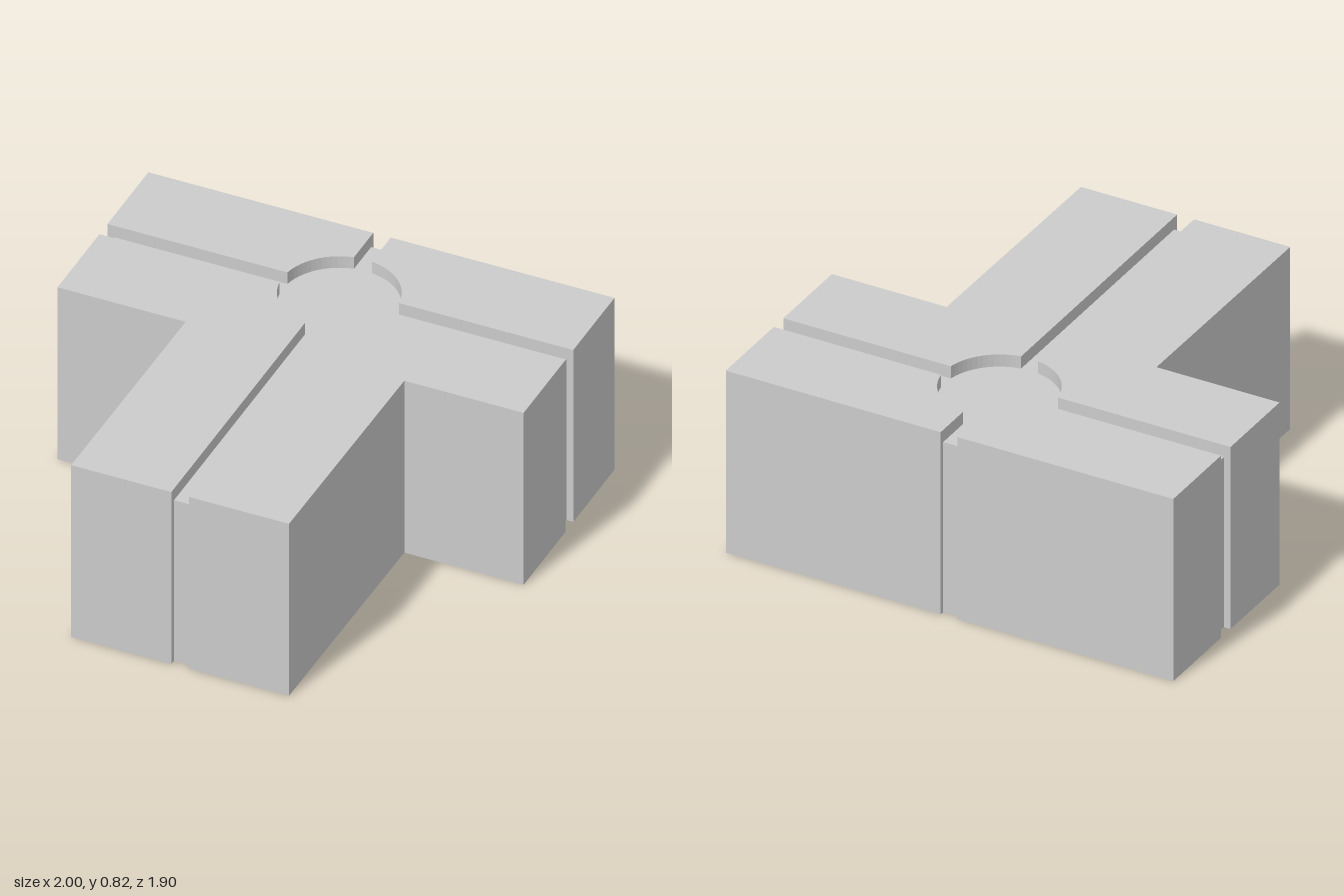
import * as THREE from 'three';

const HEIGHT = 0.825, FLOOR = 0.77;
const CX = 0.012, CY = 0.532, R = 0.243; // round recess, plan coordinates (x, -z)

// Arc of the recess between two angles, counter-clockwise
function arc(a, b, steps = 14) {
  const points = [];
  for (let i = 0; i <= steps; i++) {
    const t = a + (b - a) * i / steps;
    points.push([CX + R * Math.cos(t), CY + R * Math.sin(t)]);
  }
  return points;
}
// Angles where a channel edge meets the recess
const atX = (x) => Math.acos((x - CX) / R);
const atY = (y) => Math.asin((y - CY) / R);

export function createModel() {
  const group = new THREE.Group();
  const material = new THREE.MeshStandardMaterial({ color: 0xcccccc });

  // Extrude a plan outline upward from the ground
  function addPart(name, outline, height) {
    const shape = new THREE.Shape(outline.map(([x, y]) => new THREE.Vector2(x, y)));
    const geometry = new THREE.ExtrudeGeometry(shape, { depth: height, bevelEnabled: false });
    geometry.rotateX(-Math.PI / 2);
    const mesh = new THREE.Mesh(geometry, material);
    mesh.name = name;
    group.add(mesh);
  }

  // Recess wall of each quarter
  const backLeft = arc(atY(0.567), atX(0.04));
  const backRight = arc(atX(-0.035), Math.PI - atY(0.57));
  const frontRight = arc(Math.PI - atY(0.495), 2 * Math.PI - atX(-0.025));
  const frontLeft = arc(-atX(0.05), atY(0.492));

  // Four full-height blocks of the T
  addPart('backLeftBlock', [...backLeft, [0.04, 0.95], [1, 0.95], [1, 0.567]], HEIGHT);
  addPart('backRightBlock', [...backRight, [-1, 0.57], [-1, 0.95], [-0.035, 0.95]], HEIGHT);
  addPart('frontRightBlock', [...frontRight, [-0.025, -0.95], [-0.455, -0.95], [-0.45, 0.105],
    [-1, 0.105], [-1, 0.495]], HEIGHT);
  addPart('frontLeftBlock', [...frontLeft, [1, 0.492], [1, 0.105], [0.488, 0.105],
    [0.48, -0.95], [0.05, -0.95]], HEIGHT);

  // Sunken cross-shaped channel with the round recess, set back at its ends
  addPart('channelCore', [
    ...backLeft, [0.04, 0.93], [-0.035, 0.93],
    ...backRight, [-0.97, 0.57], [-0.97, 0.495],
    ...frontRight, [-0.025, -0.925], [0.05, -0.925],
    ...frontLeft, [0.97, 0.492], [0.97, 0.567],
  ], FLOOR);

  return group;
}
